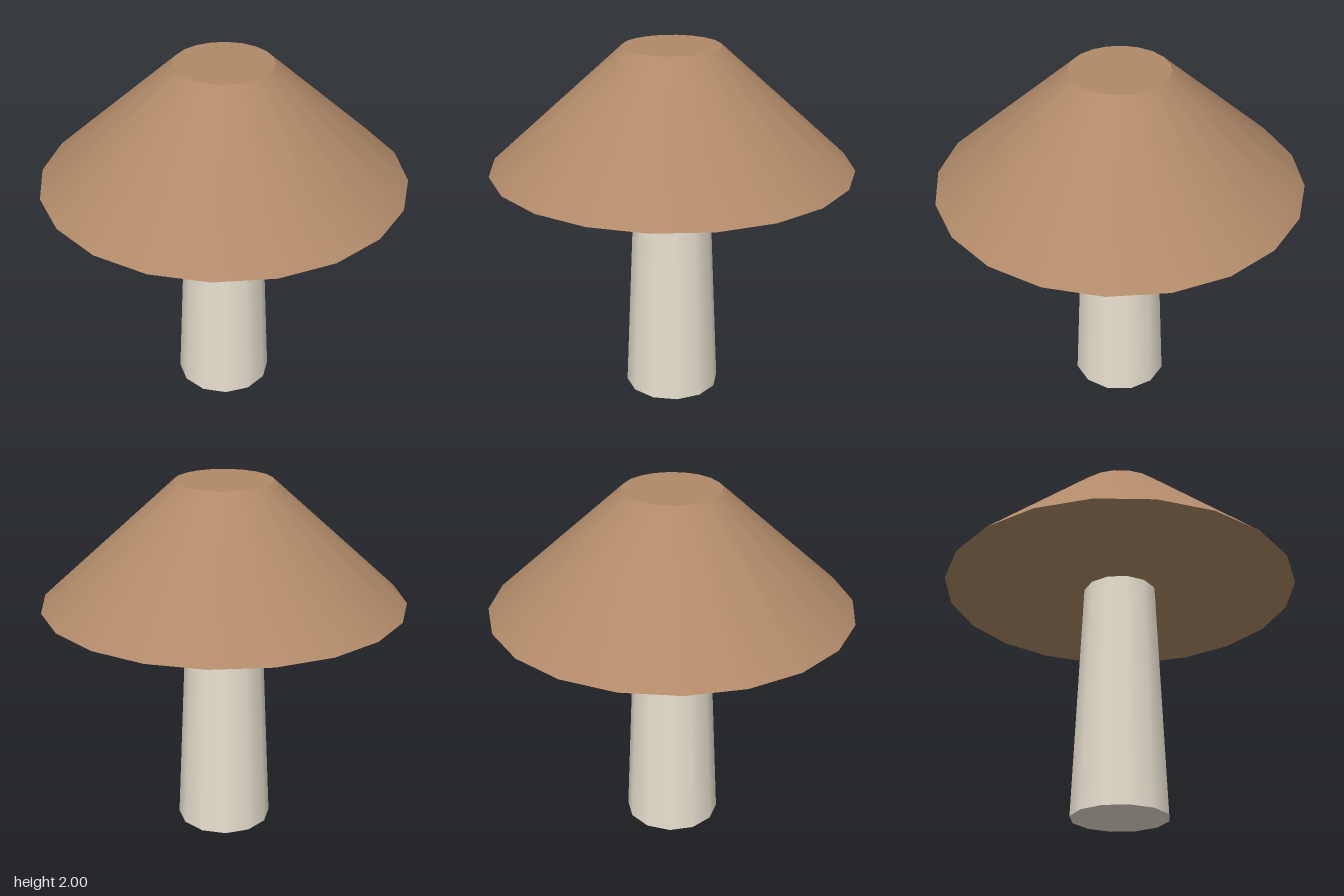
import * as THREE from 'three';

export function createModel() {
  const model = new THREE.Group();
  const tan = new THREE.MeshStandardMaterial({ color: 0xb08968 });
  tan.name = 'tan';
  const cream = new THREE.MeshStandardMaterial({ color: 0xe8e0d0 });
  cream.name = 'cream';

  // Tapered, closed round part standing between two heights
  function taper(name, rTop, rBottom, y0, y1, sides, material) {
    const geometry = new THREE.CylinderGeometry(rTop, rBottom, y1 - y0, sides);
    const mesh = new THREE.Mesh(geometry, material);
    mesh.name = name;
    mesh.position.y = (y0 + y1) / 2;
    model.add(mesh);
  }

  // Stem reaches slightly into the cap
  taper('stem', 0.205, 0.267, 0, 1.38, 12, cream);
  // Wide cap with a flat top and flat underside
  taper('cap', 0.267, 1, 1.335, 2, 20, tan);

  return model;
}
